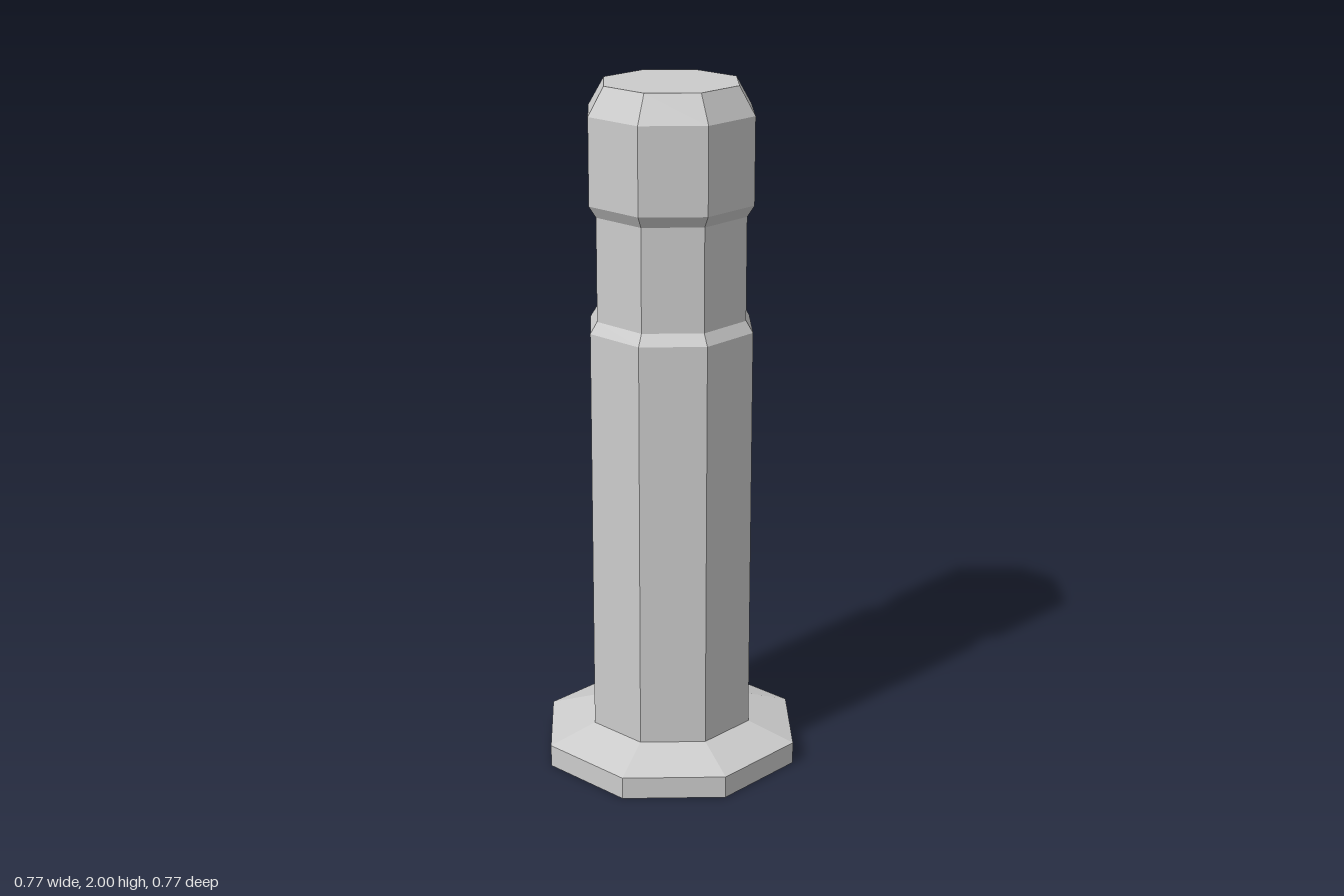
import * as THREE from 'three';

const SIDES = 8;

// Profiles run from bottom to top as [radius, height]
const PARTS = {
  baseFlange: [[0, 0], [0.386, 0], [0.386, 0.065], [0.246, 0.113]],
  shaft: [[0.246, 0.113], [0.246, 1.31]],
  neckGroove: [[0.246, 1.31], [0.225, 1.343], [0.225, 1.64], [0.246, 1.673]],
  head: [[0.246, 1.673], [0.246, 1.92], [0.199, 2], [0, 2]],
};

export function createModel() {
  const group = new THREE.Group();
  group.name = 'pin';
  const material = new THREE.MeshStandardMaterial({ color: 0xcccccc, flatShading: true });

  // Each part is an eight-sided lathe; neighbours share their end rings
  for (const [name, profile] of Object.entries(PARTS)) {
    const points = profile.map(([r, y]) => new THREE.Vector2(r, y));
    const mesh = new THREE.Mesh(new THREE.LatheGeometry(points, SIDES), material);
    mesh.name = name;
    group.add(mesh);
  }
  return group;
}
